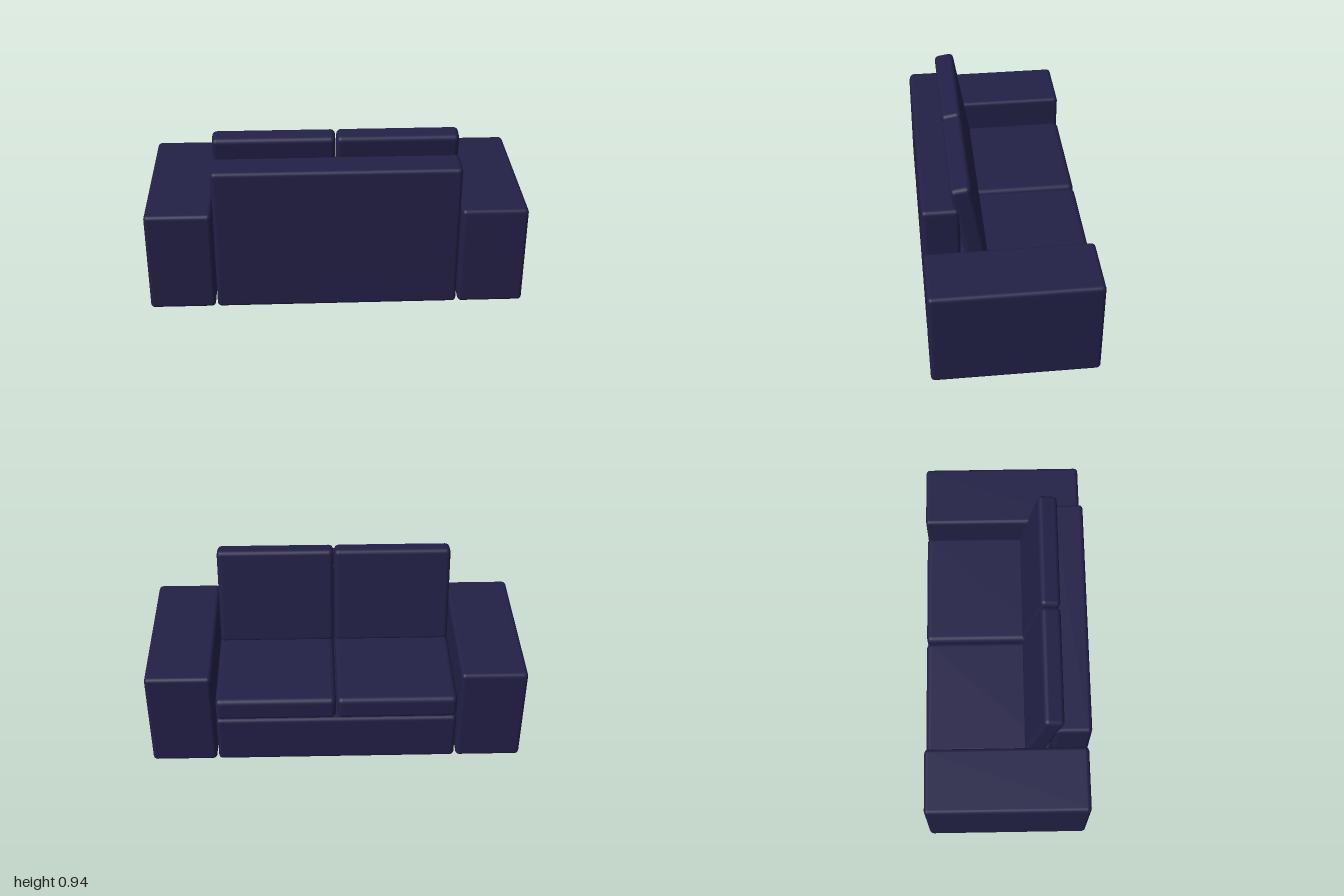
import * as THREE from 'three';
import { RoundedBoxGeometry } from 'three/addons/geometries/RoundedBoxGeometry.js';

const fabric = new THREE.MeshStandardMaterial({ color: 0x222046 });

// Soft-edged block given by its centre and size
function block(name, [w, h, d], [x, y, z], radius = 0.022) {
  const mesh = new THREE.Mesh(new RoundedBoxGeometry(w, h, d, 3, radius), fabric);
  mesh.name = name;
  mesh.position.set(x, y, z);
  return mesh;
}

export function createModel() {
  const sofa = new THREE.Group();
  sofa.name = 'sofa';

  // Frame: low base running into the tall backrest; the seat opens towards -z
  sofa.add(block('base', [1.285, 0.28, 0.855], [0, 0.14, -0.0075]));
  sofa.add(block('backrest', [1.285, 0.81, 0.19], [0, 0.405, 0.34]));

  for (const side of [-1, 1]) {
    const label = side > 0 ? 'left' : 'right';
    sofa.add(block(label + 'Arm', [0.348, 0.565, 0.87], [side * 0.826, 0.2825, 0]));
    sofa.add(block(label + 'SeatCushion', [0.638, 0.13, 0.685], [side * 0.322, 0.345, -0.0925], 0.028));

    // Back cushion leans against the backrest
    const back = block(label + 'BackCushion', [0.634, 0.55, 0.106], [side * 0.32, 0.662, 0.194], 0.025);
    back.rotation.x = 0.17;
    sofa.add(back);
  }
  return sofa;
}
